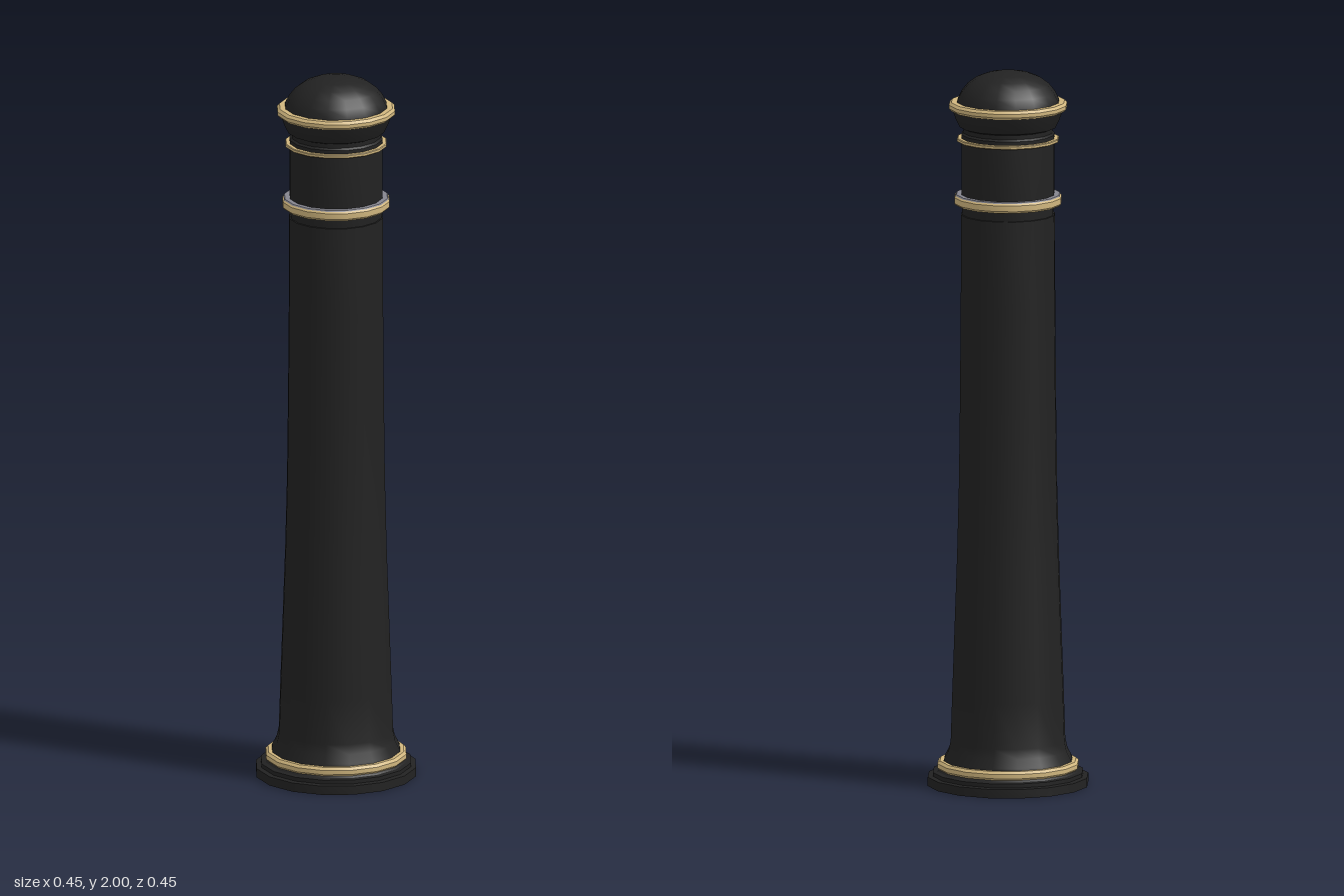
import * as THREE from 'three';
import { toCreasedNormals } from 'three/addons/utils/BufferGeometryUtils.js';

const SIDES = 16;

export function createModel() {
  const group = new THREE.Group();
  const material = (name, color) => {
    const m = new THREE.MeshStandardMaterial({ color });
    m.name = name;
    return m;
  };
  const black = material('black iron', 0x222222);
  const gold = material('pale gold', 0xd0b67e);
  const grey = material('blue grey', 0x85858f);

  // Turns a bottom-to-top [radius, height] profile, keeping hard steps crisp
  const turn = (name, mat, profile) => {
    const points = profile.map(([r, y]) => new THREE.Vector2(r, y));
    const geometry = toCreasedNormals(new THREE.LatheGeometry(points, SIDES), 0.5);
    const mesh = new THREE.Mesh(geometry, mat);
    mesh.name = name;
    group.add(mesh);
  };

  // Ring band with chamfered edges
  const band = (name, inner, outer, y0, y1, chamfer) => turn(name, gold, [
    [inner, y0], [outer - chamfer, y0], [outer, y0 + chamfer],
    [outer, y1 - chamfer], [outer - chamfer, y1], [inner, y1],
  ]);

  // Stepped foot
  turn('plinth', black, [
    [0, 0], [0.224, 0], [0.224, 0.025], [0.21, 0.027], [0.21, 0.038],
    [0.197, 0.04], [0.19, 0.046], [0.15, 0.046],
  ]);
  band('baseRing', 0.165, 0.197, 0.043, 0.069, 0.007);

  // Flared column
  turn('shaft', black, [
    [0.182, 0.06], [0.178, 0.075], [0.166, 0.098], [0.16, 0.125], [0.156, 0.25],
    [0.149, 0.45], [0.142, 0.65], [0.137, 0.85], [0.134, 1.1],
    [0.132, 1.35], [0.131, 1.6], [0.12, 1.602],
  ]);

  // Neck and flared capital
  turn('neck', black, [
    [0.127, 1.59], [0.13, 1.66], [0.13, 1.825], [0.124, 1.83], [0.124, 1.842],
    [0.134, 1.846], [0.145, 1.868], [0.154, 1.893], [0.12, 1.894],
  ]);
  band('collarRing', 0.127, 0.15, 1.627, 1.655, 0.006);
  // Grey lip on the collar
  turn('collarLip', grey, [[0.147, 1.654], [0.144, 1.657], [0.128, 1.657]]);
  band('thinRing', 0.125, 0.142, 1.805, 1.815, 0.002);
  band('capRing', 0.14, 0.165, 1.892, 1.916, 0.007);

  // Domed top
  turn('dome', black, [
    [0.144, 1.91], [0.142, 1.92], [0.131, 1.942], [0.114, 1.963],
    [0.09, 1.981], [0.06, 1.993], [0.03, 1.999], [0, 2],
  ]);

  return group;
}
